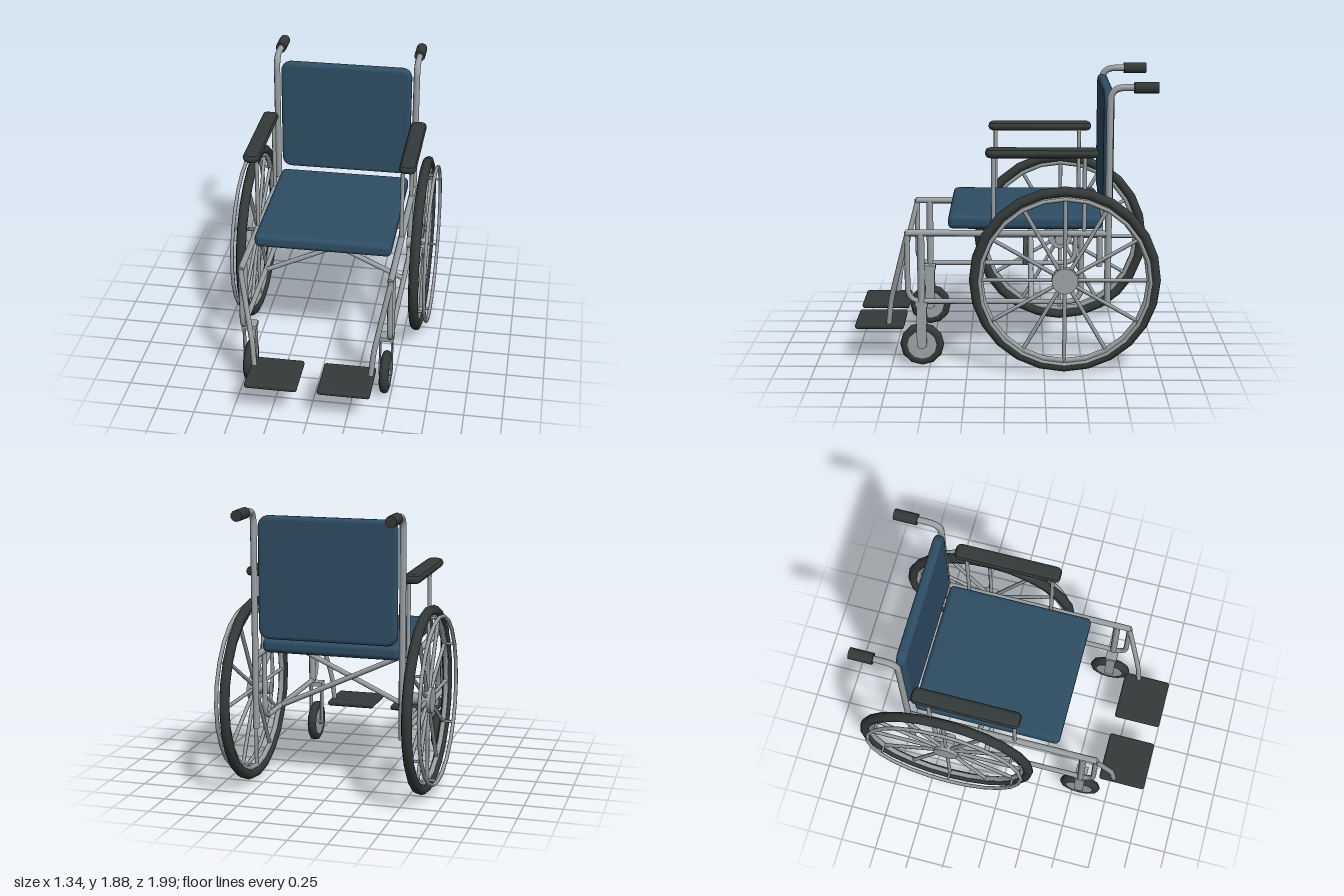
import * as THREE from 'three';
import { RoundedBoxGeometry } from 'three/addons/geometries/RoundedBoxGeometry.js';

const material = (name, color) => {
  const m = new THREE.MeshStandardMaterial({ color });
  m.name = name;
  return m;
};
const V = (x, y, z) => new THREE.Vector3(x, y, z);

export function createModel() {
  const steel = material('steel', 0x9ca2a5);
  const rubber = material('black rubber', 0x343a39);
  const fabric = material('blue upholstery', 0x2e4d64);
  const root = new THREE.Group();
  root.name = 'wheelchair';

  const add = (parent, name, geometry, mat, x = 0, y = 0, z = 0) => {
    const mesh = new THREE.Mesh(geometry, mat);
    mesh.name = name;
    mesh.position.set(x, y, z);
    parent.add(mesh);
    return mesh;
  };

  // Straight round bar between two points
  const bar = (parent, name, a, b, r, mat = steel, sides = 8) => {
    const dir = b.clone().sub(a);
    const mesh = add(parent, name, new THREE.CylinderGeometry(r, r, dir.length(), sides), mat);
    mesh.position.copy(a).add(b).multiplyScalar(0.5);
    mesh.quaternion.setFromUnitVectors(V(0, 1, 0), dir.normalize());
    return mesh;
  };

  // Bent tube: straight runs joined by rounded corners, with capped ends
  const bentTube = (parent, name, pts, bend, r) => {
    const path = new THREE.CurvePath();
    let last = pts[0];
    for (let i = 1; i < pts.length - 1; i++) {
      const p = pts[i];
      const start = p.clone().add(pts[i - 1].clone().sub(p).setLength(bend));
      const end = p.clone().add(pts[i + 1].clone().sub(p).setLength(bend));
      path.add(new THREE.LineCurve3(last, start));
      path.add(new THREE.QuadraticBezierCurve3(start, p, end));
      last = end;
    }
    path.add(new THREE.LineCurve3(last, pts[pts.length - 1]));
    add(parent, name, new THREE.TubeGeometry(path, 64, r, 8), steel);
    for (const t of [0, 1]) {
      const p = path.getPointAt(t);
      const cap = add(parent, name + 'Cap', new THREE.CircleGeometry(r, 8), steel, p.x, p.y, p.z);
      cap.quaternion.setFromUnitVectors(V(0, 0, 1), path.getTangentAt(t).multiplyScalar(t ? 1 : -1));
    }
  };

  // Padded slab: rounded rectangle with bevelled rim, centred on the origin
  const slab = (w, h, depth, corner, bevel, segments) => {
    const x = w / 2 - bevel, y = h / 2 - bevel, c = corner;
    const s = new THREE.Shape();
    s.absarc(x - c, y - c, c, 0, Math.PI / 2);
    s.absarc(c - x, y - c, c, Math.PI / 2, Math.PI);
    s.absarc(c - x, c - y, c, Math.PI, Math.PI * 1.5);
    s.absarc(x - c, c - y, c, Math.PI * 1.5, Math.PI * 2);
    const g = new THREE.ExtrudeGeometry(s, {
      depth: depth - 2 * bevel, bevelSize: bevel, bevelThickness: bevel,
      bevelSegments: segments, curveSegments: 5,
    });
    return g.translate(0, 0, bevel - depth / 2);
  };

  const ring = (radius, tube, tubeSides, sides) =>
    new THREE.TorusGeometry(radius, tube, tubeSides, sides).rotateY(Math.PI / 2);
  const disc = (radius, width, sides) =>
    new THREE.CylinderGeometry(radius, radius, width, sides).rotateZ(Math.PI / 2);

  // Seat and backrest
  add(root, 'seat', new RoundedBoxGeometry(0.91, 0.095, 1.0, 3, 0.035), fabric, 0, 0.963, -0.125);
  add(root, 'backrest', slab(0.91, 0.795, 0.066, 0.045, 0.024, 3), fabric, 0, 1.418, -0.657);

  // Folding cross brace under the seat
  bar(root, 'crossBraceFront', V(-0.485, 0.445, -0.13), V(0.485, 0.9, -0.13), 0.018);
  bar(root, 'crossBraceRear', V(0.485, 0.445, -0.165), V(-0.485, 0.9, -0.165), 0.018);

  for (const s of [1, -1]) {
    const side = new THREE.Group();
    side.name = s > 0 ? 'leftSide' : 'rightSide';
    root.add(side);
    const fx = 0.487 * s;

    // Side frame
    bar(side, 'seatRail', V(fx, 0.902, 0.645), V(fx, 0.902, -0.66), 0.022);
    bentTube(side, 'lowerFrame', [V(fx, 0.91, 0.638), V(fx, 0.445, 0.638),
      V(fx, 0.445, -0.487), V(fx, 0.9, -0.487)], 0.09, 0.018);

    // Back tube with push handle
    bentTube(side, 'backTube', [V(fx, 0.42, -0.66), V(fx, 1.847, -0.66), V(fx, 1.847, -0.85)], 0.09, 0.022);
    bar(side, 'handGrip', V(fx, 1.847, -0.81), V(fx, 1.847, -0.965), 0.037, rubber, 10);

    // Armrest on two posts
    for (const z of [0.08, -0.505]) bar(side, 'armrestPost', V(fx, 0.9, z), V(fx, 1.42, z), 0.014);
    add(side, 'armrestPad', slab(0.112, 0.72, 0.06, 0.012, 0.026, 2).rotateX(Math.PI / 2),
      rubber, 0.519 * s, 1.435, -0.23);

    // Footrest
    bentTube(side, 'footrestHanger', [V(fx, 0.88, 0.64), V(0.4 * s, 0.43, 0.755), V(0.385 * s, 0.245, 0.775)], 0.06, 0.018);
    add(side, 'footplate', new RoundedBoxGeometry(0.345, 0.04, 0.325, 2, 0.018), rubber, 0.238 * s, 0.245, 0.835);

    // Front caster: stem, fork and small wheel
    const caster = new THREE.Group();
    caster.name = 'caster';
    caster.position.set(0.4575 * s, 0.145, 0.55);
    side.add(caster);
    bar(side, 'casterStem', V(fx, 0.42, 0.55), V(fx, 0.9, 0.55), 0.024);
    add(caster, 'forkCrown', new THREE.BoxGeometry(0.1, 0.03, 0.08), steel, 0, 0.28, 0);
    for (const x of [-0.04, 0.04]) {
      add(caster, 'forkBlade', new THREE.BoxGeometry(0.008, 0.28, 0.065), steel, x, 0.13, 0);
    }
    add(caster, 'casterTyre', ring(0.113, 0.032, 8, 12), rubber);
    add(caster, 'casterDisc', disc(0.113, 0.05, 12), steel);
    add(caster, 'casterAxle', disc(0.025, 0.088, 8), steel);

    // Large rear wheel
    const wheel = new THREE.Group();
    wheel.name = 'rearWheel';
    wheel.position.set(0.59 * s, 0.617, -0.38);
    side.add(wheel);
    add(wheel, 'tyre', ring(0.582, 0.034, 8, 24), rubber);
    add(wheel, 'rim', ring(0.542, 0.018, 6, 24), steel);
    add(wheel, 'hub', disc(0.085, 0.065, 16), steel);
    add(wheel, 'axle', disc(0.04, 0.1, 10), steel, -0.06 * s);
    add(wheel, 'handRim', ring(0.546, 0.013, 6, 24), steel, 0.069 * s);
    for (let i = 0; i < 12; i++) {
      const a = i * Math.PI / 6;
      const at = (r, x) => V(x * s, r * Math.sin(a), r * Math.cos(a));
      bar(wheel, 'spoke', at(0.05, 0), at(0.545, 0), 0.013, steel, 6);
      if (i % 2) bar(wheel, 'handRimPin', at(0.542, 0), at(0.542, 0.069), 0.009, steel, 6);
    }
  }
  return root;
}
